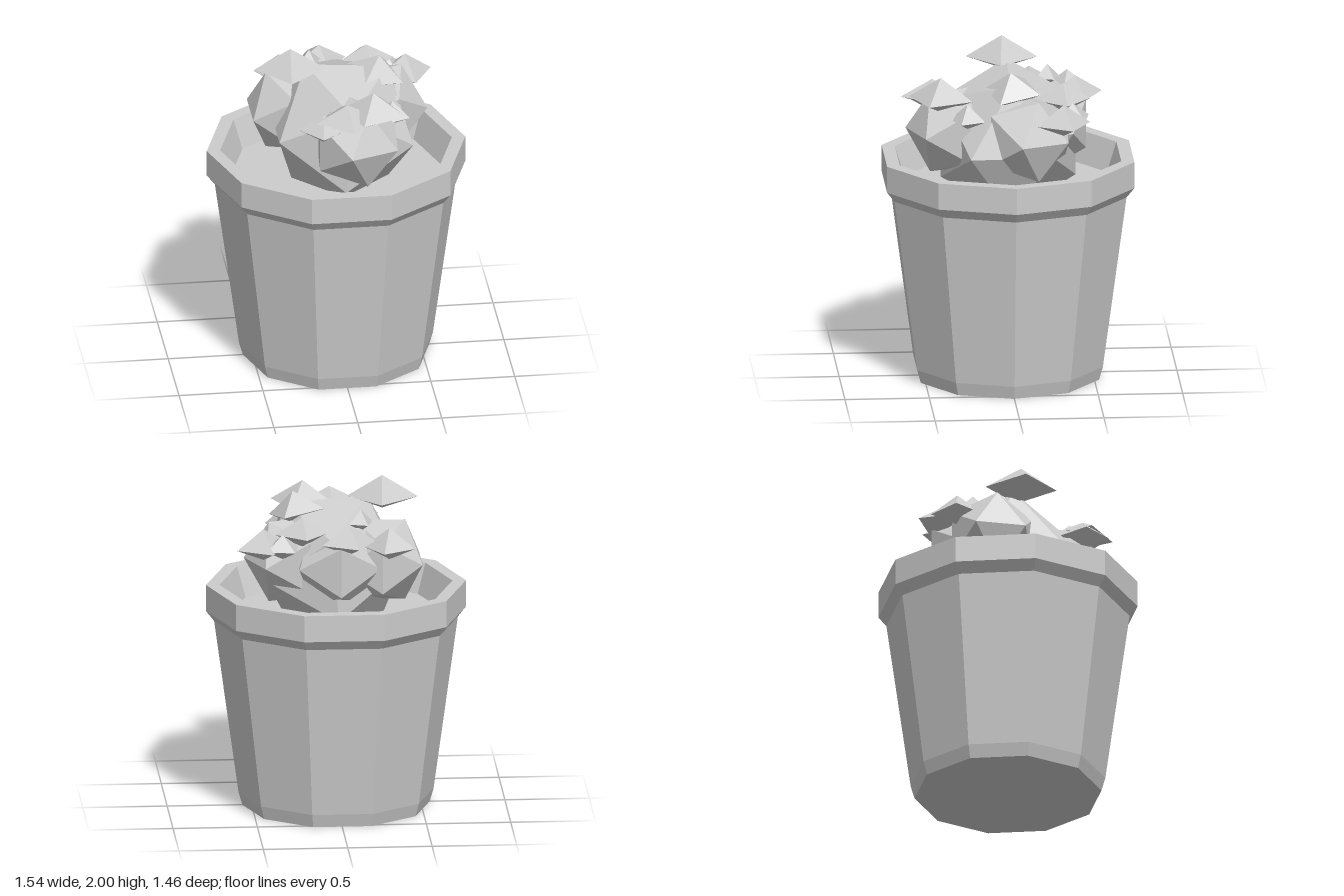
import * as THREE from 'three';

const stone = new THREE.MeshStandardMaterial({ color: 0xcccccc });
stone.name = 'stone grey';

// Splits shared corners so every facet is shaded flat
function faceted(geometry) {
  const g = geometry.index ? geometry.toNonIndexed() : geometry;
  g.computeVertexNormals();
  return g;
}

function addPart(parent, name, geometry) {
  const mesh = new THREE.Mesh(faceted(geometry), stone);
  mesh.name = name;
  parent.add(mesh);
  return mesh;
}

// Ten-sided solid of revolution with a corner on the x axis
function decagon(profile) {
  const points = profile.map(([r, y]) => new THREE.Vector2(r, y));
  return new THREE.LatheGeometry(points, 10, Math.PI / 2);
}

// Four-sided leaf: a taller pyramid above, a shallow one below
function leafGeometry(radius, rise, drop) {
  const g = new THREE.OctahedronGeometry(1);
  const p = g.attributes.position;
  for (let i = 0; i < p.count; i++) {
    const y = p.getY(i);
    p.setXYZ(i, p.getX(i) * radius, y > 0 ? y * rise : y * drop, p.getZ(i) * radius);
  }
  return g;
}

export function createModel() {
  const model = new THREE.Group();
  model.name = 'pottedPlant';

  // Pot with a chamfered foot, a thick rim and a recessed inner wall
  addPart(model, 'pot', decagon([
    [0, 0], [0.555, 0], [0.578, 0.08], [0.722, 1.13],
    [0.77, 1.19], [0.77, 1.35], [0.69, 1.35], [0.63, 1.17],
  ]));
  addPart(model, 'soil', decagon([[0.63, 1.17], [0, 1.17]]));

  const foliage = new THREE.Group();
  foliage.name = 'foliage';
  model.add(foliage);

  // One large angular mass with a lobe on each side: position, radius, turn, tilt
  const masses = [
    [0.03, 1.465, 0, 0.47, 0, -0.08],
    [-0.25, 1.53, -0.15, 0.285, 0, 0],
    [0.08, 1.53, 0.33, 0.285, Math.PI / 2 + 0.35, 0],
    [0.27, 1.53, -0.1, 0.285, 0.38, 0],
    [0, 1.53, -0.22, 0.285, 0, 0],
  ];
  for (const [x, y, z, radius, turn, tilt] of masses) {
    const mass = addPart(foliage, 'leafMass', new THREE.IcosahedronGeometry(radius, 0));
    mass.position.set(x, y, z);
    mass.rotation.set(0, turn, tilt);
  }

  // Pointed leaves: position of the widest level, radius, rise, drop, turn, tilt
  const leaves = [
    [-0.275, 1.87, 0.02, 0.212, 0.13, 0.07, -0.08, 0],
    [0.235, 1.795, -0.01, 0.18, 0.125, 0.09, -0.48, -0.2],
    [0.22, 1.74, -0.31, 0.165, 0.1, 0.08, 0.1, 0],
    [0.45, 1.65, -0.3, 0.165, 0.12, 0.07, 0.28, 0],
    [0.34, 1.66, -0.36, 0.12, 0.09, 0.06, 0.6, 0],
    [0.17, 1.74, 0.41, 0.2, 0.13, 0.08, -0.4, 0],
    [0.01, 1.72, 0.45, 0.19, 0.1, 0.06, 0.1, 0],
    [-0.13, 1.66, 0.43, 0.15, 0.09, 0.08, -0.1, 0],
    [-0.29, 1.66, -0.37, 0.155, 0.12, 0.07, -0.25, 0],
    [-0.05, 1.7, -0.4, 0.17, 0.11, 0.07, 0.3, 0],
    [0.3, 1.64, 0.26, 0.11, 0.1, 0.05, -0.4, 0],
    [-0.13, 1.78, -0.24, 0.08, 0.08, 0.05, 0.5, 0],
  ];
  for (const [x, y, z, radius, rise, drop, turn, tilt] of leaves) {
    const leaf = addPart(foliage, 'pointedLeaf', leafGeometry(radius, rise, drop));
    leaf.position.set(x, y, z);
    leaf.rotation.set(0, turn, tilt);
  }

  return model;
}
